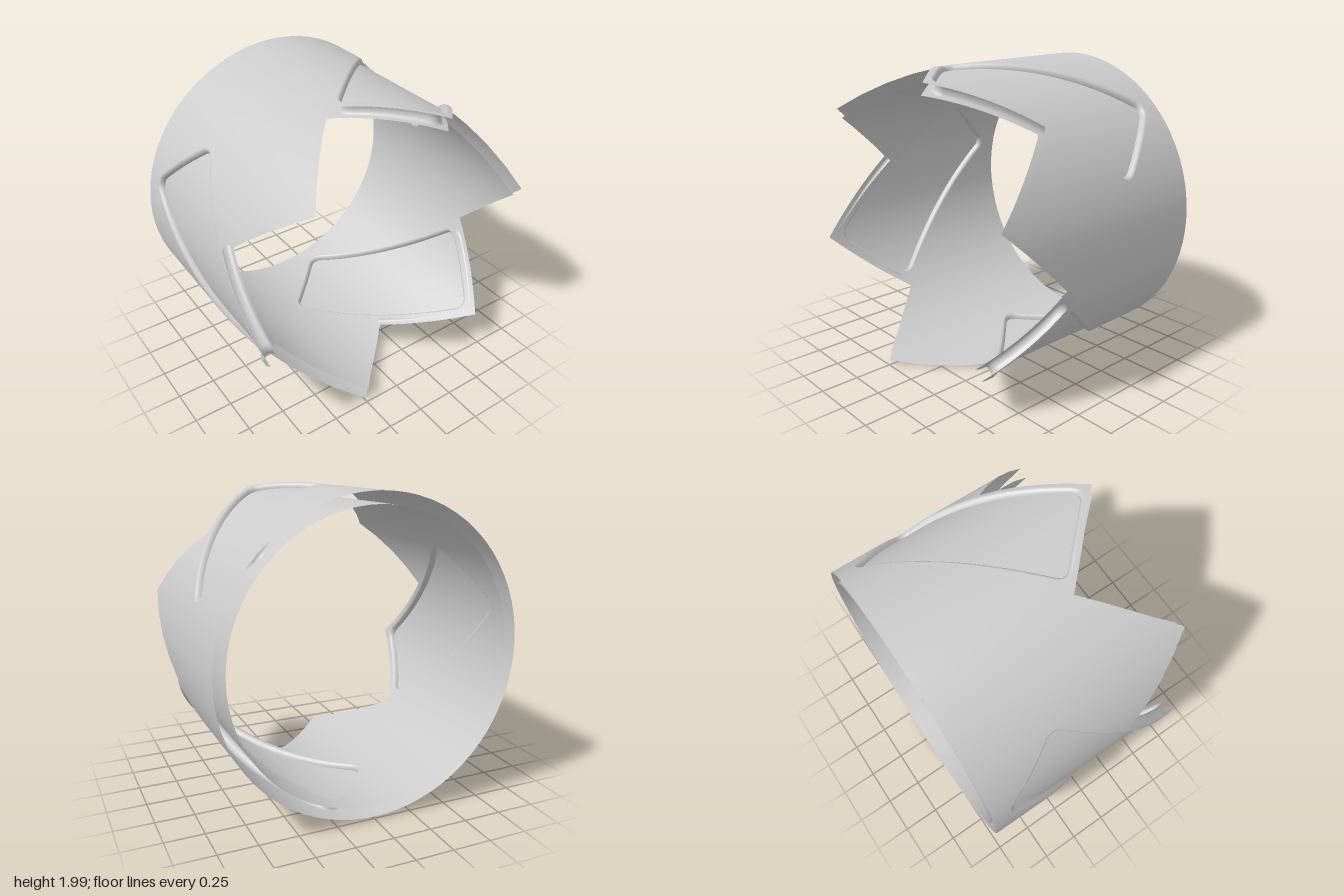
import * as THREE from 'three';

const OUTER = 0.986, INNER = 0.911, MID = (OUTER + INNER) / 2;
const BACK = -0.748, VALLEY = 0.253, TIP = 0.757;
const LIP = 0.025;                 // sideways width of the rounded panel edge
const ARC = 6, EDGE = 20, PER = ARC + EDGE, COUNT = PER * 4;
const RAD = Math.PI / 180;

// Rounded rectangle, turned 45 degrees on the unrolled wall, grown by d.
// Points are [angle, z] relative to the sector centre.
function panelOutline(d) {
  const a = 0.638, b = 0.288, r = 0.06, pts = [];
  const signs = [[-1, -1], [1, -1], [1, 1], [-1, 1]];
  const corner = (q, j) => {
    const [sx, sy] = signs[q % 4], t = Math.PI * (1 + (q % 4) / 2) + (j / ARC) * Math.PI / 2;
    return [sx * (a - r) + (r + d) * Math.cos(t), sy * (b - r) + (r + d) * Math.sin(t)];
  };
  for (let q = 0; q < 4; q++) {
    for (let j = 0; j <= ARC; j++) pts.push(corner(q, j));
    const p = corner(q, ARC), n = corner(q + 1, 0);
    for (let i = 1; i < EDGE; i++) {
      const f = i / EDGE;
      pts.push([p[0] + (n[0] - p[0]) * f, p[1] + (n[1] - p[1]) * f]);
    }
  }
  return pts.map(([p, q]) => [(p + q) * Math.SQRT1_2 / MID, (p - q) * Math.SQRT1_2 + 0.025]);
}

// Outline of one 120 degree sector, matched point by point to the panel outline
function sectorOutline() {
  const c = q => PER * q + ARC / 2, e = (q, i) => PER * q + ARC + i;
  const keys = [
    [c(0), -75, -0.2], [e(0, 2), -75, VALLEY], [e(0, 6), -45, TIP], [e(0, 10), -15, VALLEY],
    [c(1), 15, TIP], [c(2), 45, VALLEY], [e(2, 10), 45, BACK], [c(3), -16, BACK],
    [e(3, 8), -75, BACK], [c(0) + COUNT, -75, -0.2],
  ];
  const pts = [];
  for (let k = 0; k + 1 < keys.length; k++) {
    const [i0, a0, z0] = keys[k], [i1, a1, z1] = keys[k + 1];
    for (let i = i0; i < i1; i++) {
      const f = (i - i0) / (i1 - i0);
      pts[i % COUNT] = [(a0 + (a1 - a0) * f) * RAD, z0 + (z1 - z0) * f];
    }
  }
  return pts;
}

// Surface through closed loops; each ring is { pts, r, radial }
function loft(rings, inward) {
  const pos = [], index = [];
  for (const { pts, r } of rings)
    for (const [t, z] of pts) pos.push(r * Math.cos(t), r * Math.sin(t), z);
  for (let k = 0; k + 1 < rings.length; k++) {
    for (let i = 0; i < COUNT; i++) {
      const n = (i + 1) % COUNT;
      const a = k * COUNT + i, b = k * COUNT + n, c = b + COUNT, d = a + COUNT;
      if (inward) index.push(a, c, b, a, d, c);
      else index.push(a, b, c, a, c, d);
    }
  }
  const geo = new THREE.BufferGeometry();
  geo.setAttribute('position', new THREE.Float32BufferAttribute(pos, 3));
  geo.setIndex(index);
  geo.computeVertexNormals();
  // exact cylinder normals away from the rounded edge
  const s = inward ? -1 : 1;
  rings.forEach((ring, k) => {
    if (!ring.radial) return;
    ring.pts.forEach(([t], i) =>
      geo.attributes.normal.setXYZ(k * COUNT + i, s * Math.cos(t), s * Math.sin(t), 0));
  });
  return geo;
}

// Curved wall from the panel floor over the rounded edge to the sector outline
function wallGeometry(r) {
  const rings = [], STEPS = 6, SPAN = 12;
  for (let k = 0; k <= STEPS; k++) {
    const t = (k / STEPS) * Math.PI / 2;
    rings.push({
      pts: panelOutline(LIP * (1 - Math.cos(t))),
      r: MID + (r - MID) * Math.sin(t),
      radial: k === STEPS,
    });
  }
  const from = panelOutline(LIP), to = sectorOutline();
  for (let k = 1; k <= SPAN; k++) {
    const f = k / SPAN;
    rings.push({
      pts: from.map(([t, z], i) => [t + (to[i][0] - t) * f, z + (to[i][1] - z) * f]),
      r, radial: true,
    });
  }
  return loft(rings, r < MID);
}

// Recessed panel floor, midway through the wall
function floorGeometry() {
  const edge = panelOutline(0), rings = [];
  for (let k = 0; k <= 10; k++) {
    const f = k / 10;
    rings.push({ pts: edge.map(([t, z]) => [t * f, 0.025 + (z - 0.025) * f]), r: MID, radial: true });
  }
  return loft(rings, false);
}

export function createModel() {
  const model = new THREE.Group();
  model.name = 'toothedRing';
  const material = new THREE.MeshStandardMaterial({ color: 0xcccccc, side: THREE.DoubleSide });
  const parts = {
    outerWall: wallGeometry(OUTER),
    innerWall: wallGeometry(INNER),
    recessedPanel: floorGeometry(),
  };

  // Three equal sectors around a slightly tilted axis
  const ring = new THREE.Group();
  ring.name = 'ring';
  for (let i = 0; i < 3; i++) {
    const sector = new THREE.Group();
    sector.name = `sector${i + 1}`;
    sector.rotation.z = (60 + 120 * i) * RAD;
    for (const [name, geo] of Object.entries(parts)) {
      const mesh = new THREE.Mesh(geo, material);
      mesh.name = name;
      sector.add(mesh);
    }
    ring.add(sector);
  }
  ring.rotation.x = 0.018;
  ring.position.y = 0.998;
  model.add(ring);
  return model;
}
